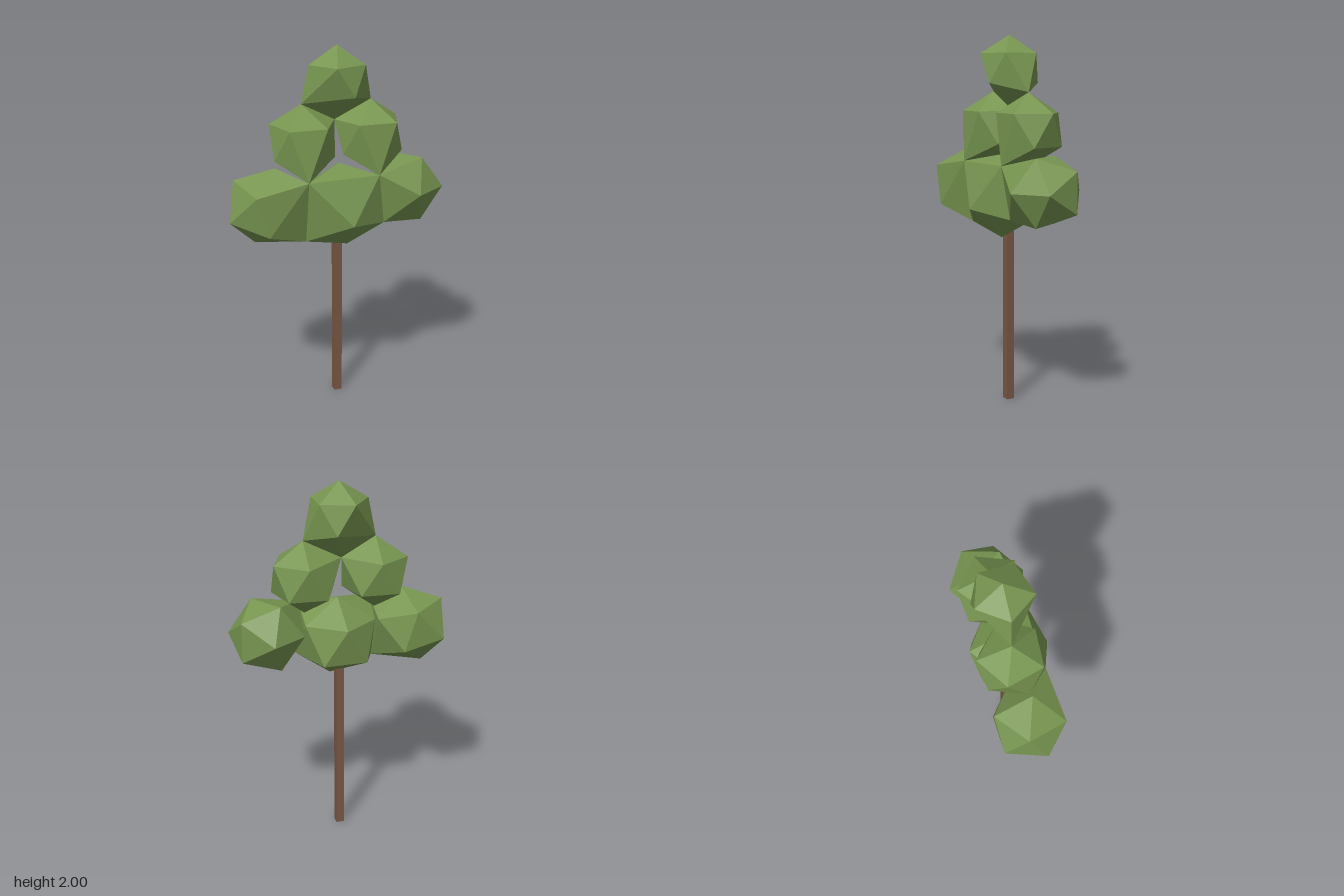
import * as THREE from 'three';

const vec = (p) => new THREE.Vector3(...p);

// Points where neighbouring leaf clumps are fused together
const JOINTS = [
  [-0.18, 1.70, -0.04], [0.21, 1.70, -0.03], [0.01, 1.60, -0.05],
  [-0.20, 1.32, 0.135], [0.20, 1.32, 0.13],
  [0.02, 1.08, 0.22], [-0.20, 0.98, 0.08], [0.24, 1.04, 0.10], [0.05, 0.92, 0.04],
].map(vec);

// Rotation frame with one axis along the pole and a second towards the ref
function frame(pole, ref) {
  const a = pole.clone().normalize();
  const b = ref.clone().addScaledVector(a, -ref.dot(a)).normalize();
  return new THREE.Matrix4().makeBasis(a, b, a.clone().cross(b));
}

// Icosahedron with a corner at the pole and a neighbouring corner towards ref
function clumpGeometry(center, radius, pole, ref) {
  const t = (1 + Math.sqrt(5)) / 2;
  const turn = frame(vec(pole), vec(ref))
    .multiply(frame(vec([-1, t, 0]), vec([1, t, 0])).transpose());
  const geo = new THREE.IcosahedronGeometry(radius, 0).applyMatrix4(turn);
  geo.translate(...center);
  // Pull corners onto nearby joints
  const pos = geo.attributes.position;
  const p = new THREE.Vector3();
  for (let i = 0; i < pos.count; i++) {
    p.fromBufferAttribute(pos, i);
    const joint = JOINTS.find((j) => j.distanceTo(p) < 0.14);
    if (joint) pos.setXYZ(i, joint.x, joint.y, joint.z);
  }
  geo.computeVertexNormals();
  return geo;
}

// Horizontal direction at an angle from +x towards +z
const heading = (deg) => [Math.cos(deg * Math.PI / 180), 0, Math.sin(deg * Math.PI / 180)];

export function createModel() {
  const leaf = new THREE.MeshStandardMaterial({ color: 0x779550, flatShading: true });
  leaf.name = 'leaf green';
  const bark = new THREE.MeshStandardMaterial({ color: 0x7a5845, flatShading: true });
  bark.name = 'bark brown';

  const tree = new THREE.Group();
  tree.name = 'tree';

  // Trunk
  const trunk = new THREE.Mesh(new THREE.BoxGeometry(0.044, 1.1, 0.044), bark);
  trunk.name = 'trunk';
  trunk.position.set(0.015, 0.55, -0.024);
  tree.add(trunk);

  // Leaf clumps: name, centre, radius, pole, neighbouring corner
  const up = [0, 1, 0];
  const clumps = [
    ['topClump', [0.015, 1.825, -0.027], 0.175, up, heading(109)],
    ['middleRightClump', [-0.176, 1.505, -0.04], 0.195, up, heading(130)],
    ['middleLeftClump', [0.208, 1.505, -0.033], 0.195, up, heading(130)],
    ['lowerCentreClump', [0.02, 1.145, -0.01], 0.225, up, heading(126)],
    ['lowerRightClump', [-0.4, 1.178, -0.01], 0.217, [0.05, 0.207, 0.03], [-0.155, 0.137, -0.045]],
    ['lowerLeftClump', [0.41, 1.2, -0.01], 0.208, [0.005, 0, 1], [0.187, 0, 0.085]],
  ];
  for (const [name, ...shape] of clumps) {
    const mesh = new THREE.Mesh(clumpGeometry(...shape), leaf);
    mesh.name = name;
    tree.add(mesh);
  }
  return tree;
}
